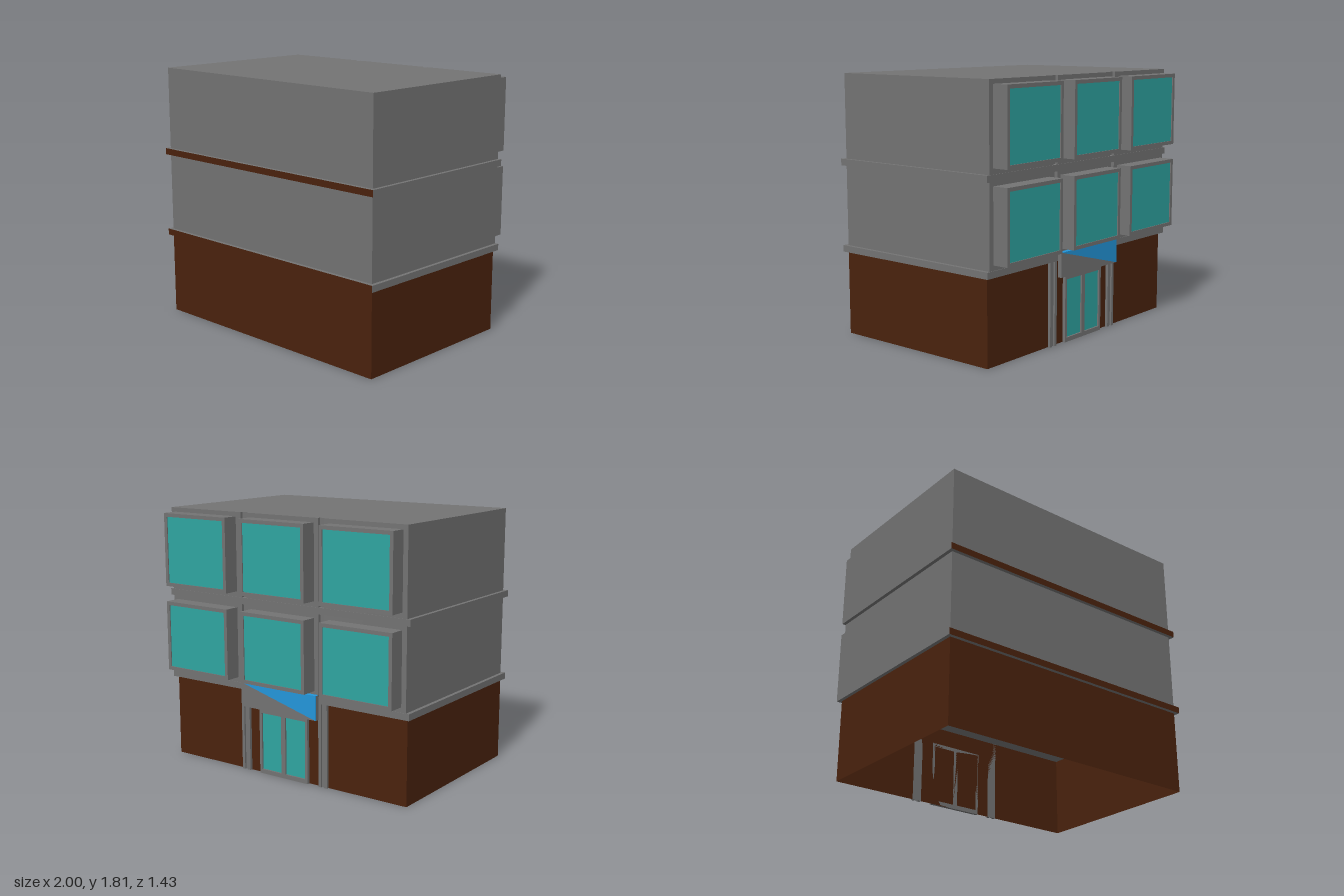
import * as THREE from 'three';

const paint = (name, color, extra = {}) => {
  const m = new THREE.MeshStandardMaterial({ color, ...extra });
  m.name = name;
  return m;
};

export function createModel() {
  const grey = paint('concreteGrey', 0x737373);
  const brown = paint('brickBrown', 0x4a220d, { side: THREE.DoubleSide });
  const glass = paint('tealGlass', 0x2fa5a1);
  const blue = paint('signBlue', 0x2396da);

  const model = new THREE.Group();
  model.name = 'building';

  const add = (parent, name, geometry, material) => {
    const mesh = new THREE.Mesh(geometry, material);
    mesh.name = name;
    parent.add(mesh);
    return mesh;
  };
  // Box given by its limits on each axis
  const box = (parent, name, x0, x1, y0, y1, z0, z1, material) => {
    const g = new THREE.BoxGeometry(x1 - x0, y1 - y0, z1 - z0);
    g.translate((x0 + x1) / 2, (y0 + y1) / 2, (z0 + z1) / 2);
    return add(parent, name, g, material);
  };
  // Rectangular plate with rectangular openings, facing the rear
  const rect = (P, x0, x1, y0, y1) => new P([
    new THREE.Vector2(x0, y0), new THREE.Vector2(x1, y0),
    new THREE.Vector2(x1, y1), new THREE.Vector2(x0, y1),
  ]);
  const frame = (parent, name, outer, holes, z0, z1) => {
    const s = rect(THREE.Shape, ...outer);
    s.holes = holes.map((h) => rect(THREE.Path, ...h));
    const g = new THREE.ExtrudeGeometry(s, { depth: z1 - z0, bevelEnabled: false });
    g.translate(0, 0, z0);
    return add(parent, name, g, grey);
  };

  const W = 0.975, FRONT = 0.69, BACK = -0.58;

  // Ground floor: four thin walls, open underneath
  const ground = new THREE.Group();
  ground.name = 'groundFloorWalls';
  model.add(ground);
  const depth = FRONT - BACK, midZ = (FRONT + BACK) / 2;
  const walls = [
    ['frontWall', 2 * W, 0, FRONT, 0], ['backWall', 2 * W, 0, BACK, Math.PI],
    ['leftWall', depth, W, midZ, Math.PI / 2], ['rightWall', depth, -W, midZ, -Math.PI / 2],
  ];
  for (const [name, width, x, z, turn] of walls) {
    const wall = add(ground, name, new THREE.PlaneGeometry(width, 0.59), brown);
    wall.position.set(x, 0.295, z);
    wall.rotation.y = turn;
  }

  // Upper storeys and the two floor ledges, brown along the front edge
  box(model, 'upperStoreys', -W, W, 0.6, 1.805, BACK, FRONT, grey);
  for (const y of [0.58, 1.18]) {
    box(model, 'floorLedge', -1, 1, y, y + 0.045, -0.606, 0.716,
      [grey, grey, grey, grey, brown, grey]);
  }

  // Rear facade panels, separated by two vertical grooves
  for (const [x0, x1] of [[-W, -0.345], [-0.3, 0.3], [0.345, W]]) {
    box(model, 'facadePanel', x0, x1, 0.6, 1.805, -0.602, BACK, grey);
  }

  // Projecting bay windows, three per storey
  for (const [y0, y1] of [[0.66, 1.153], [1.263, 1.775]]) {
    for (const [x0, x1] of [[-0.94, -0.387], [-0.266, 0.266], [0.387, 0.94]]) {
      const bay = new THREE.Group();
      bay.name = 'bayWindow';
      model.add(bay);
      const t = 0.025;
      box(bay, 'bayBody', x0, x1, y0, y1, -0.705, BACK, grey);
      box(bay, 'bayGlass', x0 + t, x1 - t, y0 + t, y1 - t, -0.709, -0.704, glass);
      frame(bay, 'bayFrame', [x0, x1, y0, y1],
        [[x0 + t, x1 - t, y0 + t, y1 - t]], -0.716, -0.705);
    }
  }

  // Grooved pilasters either side of the entrance
  for (const s of [-1, 1]) {
    const pilaster = new THREE.Group();
    pilaster.name = 'pilaster';
    model.add(pilaster);
    for (const [x, w, z] of [[0.33, 0.07, -0.587], [0.306, 0.022, -0.6], [0.354, 0.022, -0.6]]) {
      box(pilaster, 'pilasterStrip', s * x - w / 2, s * x + w / 2, 0, 0.585, z, BACK, grey);
    }
  }

  // Double entrance door
  const door = new THREE.Group();
  door.name = 'entranceDoor';
  model.add(door);
  const panes = [[-0.185, -0.018, 0.03, 0.435], [0.018, 0.185, 0.03, 0.435]];
  frame(door, 'doorFrame', [-0.205, 0.205, 0, 0.46], panes, -0.602, BACK);
  for (const [x0, x1, y0, y1] of panes) {
    box(door, 'doorGlass', x0, x1, y0, y1, -0.59, -0.583, glass);
  }

  // Sign board over the entrance, with a blue diagonal half
  box(model, 'signBoard', -0.315, 0.315, 0.475, 0.645, -0.653, -0.623,
    [grey, grey, blue, grey, grey, grey]);
  const half = new THREE.Shape([
    new THREE.Vector2(0.315, 0.645), new THREE.Vector2(-0.315, 0.645),
    new THREE.Vector2(-0.315, 0.475),
  ]);
  const halfGeo = new THREE.ExtrudeGeometry(half, { depth: 0.004, bevelEnabled: false });
  halfGeo.translate(0, 0, -0.656);
  add(model, 'signBlueHalf', halfGeo, blue);

  return model;
}
